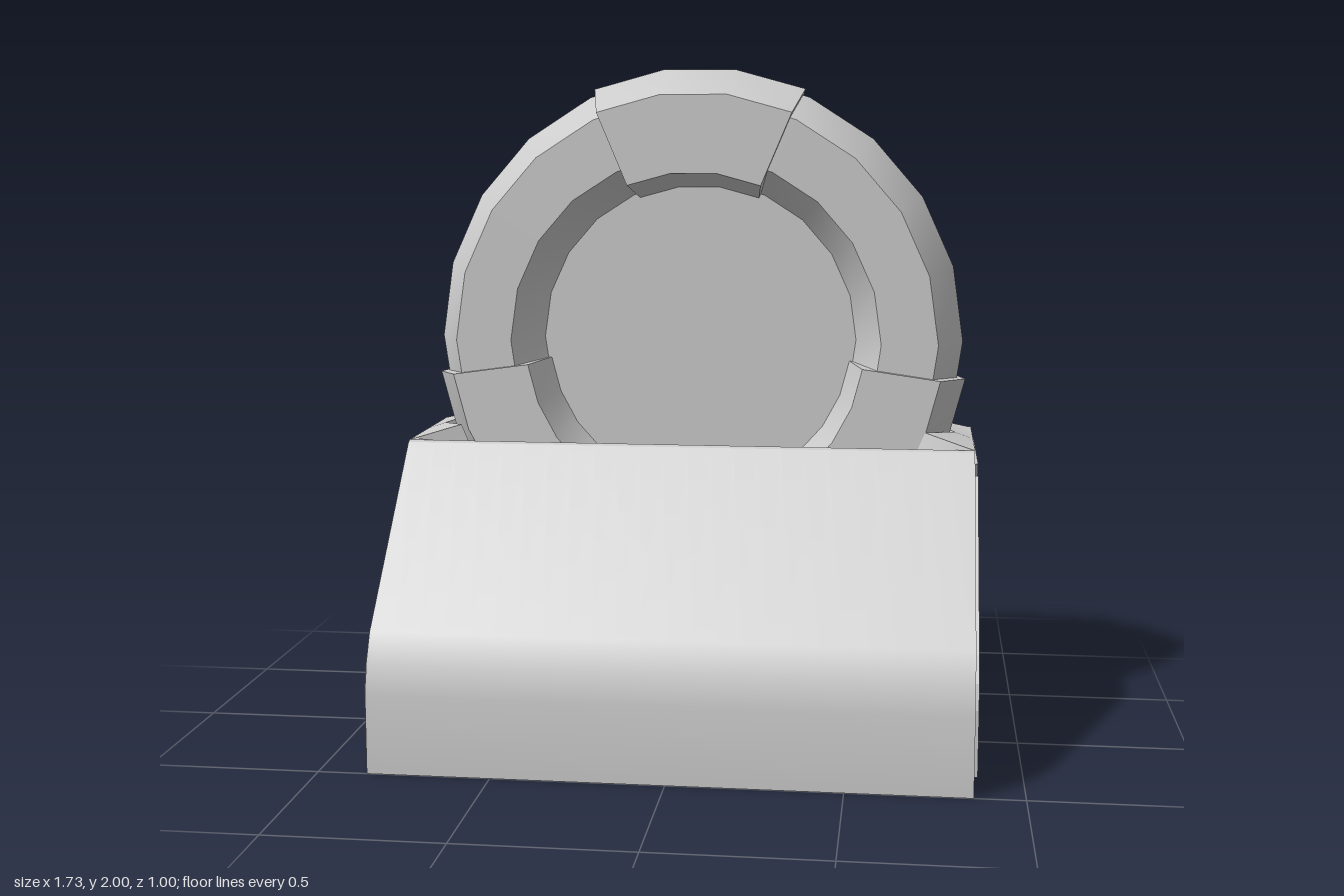
import * as THREE from 'three';
import { toCreasedNormals } from 'three/addons/utils/BufferGeometryUtils.js';

const CX = 0.01, CY = 1.18, CZ = -0.26; // centre of the ring
const HALF = 0.857;                     // half width of the base
const rad = THREE.MathUtils.degToRad;
const grey = (side = THREE.FrontSide) => new THREE.MeshStandardMaterial({ color: 0xcccccc, side });

function add(parent, name, geometry, side) {
  const mesh = new THREE.Mesh(geometry, grey(side));
  mesh.name = name;
  parent.add(mesh);
  return mesh;
}

// Closed six-sided section (radius, depth) with a ridge outside and inside
function section(inMid, inEdge, outEdge, outMid, h) {
  return [[outEdge, -h], [outMid, 0], [outEdge, h], [inEdge, h], [inMid, 0], [inEdge, -h], [outEdge, -h]]
    .map(([r, d]) => new THREE.Vector2(r, d));
}

// Sweep a section around the ring axis between two angles, in degrees
function sweep(points, from, to, segments) {
  const g = new THREE.LatheGeometry(points, segments, rad(from + 90), rad(to - from));
  g.rotateX(Math.PI / 2);
  return toCreasedNormals(g, 0.4);
}

// Base: each row is a line across the block, joined into a closed loop
function baseGeometry() {
  const flat = (z, y) => ({ z, y });
  const arc = (z, xe, ye) => ({ z, xe, ye });
  const rows = [
    flat(-0.5, 0), flat(0.5, 0), flat(0.5, 0.23), flat(0.48, 0.32), flat(0.44, 0.4), flat(-0.02, 0.875),
    flat(-0.035, 0.88), arc(-0.036, 0.84, 0.885), arc(-0.1, 0.71, 0.92), arc(-0.26, 0.8, 0.9),
    arc(-0.42, 0.71, 0.92), arc(-0.5, 0.85, 0.88),
  ];
  const N = 24, cols = N + 3, pos = [], idx = [];
  for (const row of rows) {
    for (let c = 0; c < cols; c++) {
      const t = THREE.MathUtils.clamp((c - 1) / N * 2 - 1, -1, 1);
      const edge = c === 0 || c === cols - 1;
      if (row.xe === undefined) {
        pos.push(edge ? t * HALF : t * HALF * 0.99, row.y, row.z);
      } else if (edge) {
        pos.push(t * HALF, 0.88, row.z);
      } else {
        const r = Math.hypot(row.xe, CY - row.ye);
        const a = t * Math.asin(row.xe / r);
        pos.push(r * Math.sin(a), CY - r * Math.cos(a), row.z);
      }
    }
  }
  for (let i = 0; i < rows.length; i++) {
    const j = (i + 1) % rows.length;
    for (let c = 0; c < cols - 1; c++) {
      const a = i * cols + c, b = a + 1, d = j * cols + c, e = d + 1;
      idx.push(a, b, d, b, e, d);
    }
  }
  // Flat sides
  const outline = rows.map((r) => new THREE.Vector2(r.z, r.y ?? 0.88));
  for (const [p, q, s] of THREE.ShapeUtils.triangulateShape(outline, [])) {
    const l = [p, q, s].map((k) => k * cols), m = l.map((k) => k + cols - 1);
    const area = (outline[q].x - outline[p].x) * (outline[s].y - outline[p].y)
      - (outline[q].y - outline[p].y) * (outline[s].x - outline[p].x);
    // counter-clockwise in (z, y) faces -x
    if (area > 0) idx.push(l[0], l[1], l[2], m[0], m[2], m[1]);
    else idx.push(l[0], l[2], l[1], m[0], m[1], m[2]);
  }
  const g = new THREE.BufferGeometry();
  g.setAttribute('position', new THREE.Float32BufferAttribute(pos, 3));
  g.setIndex(idx);
  return toCreasedNormals(g, 0.4);
}

export function createModel() {
  const model = new THREE.Group();
  model.name = 'ringOnStand';

  // Stand with a curved cradle
  add(model, 'base', baseGeometry());

  // Raised panels on both sides, split by a diagonal gap
  const panels = {
    frontPanel: [[0.47, 0.05], [0.47, 0.24], [0.45, 0.31], [0.41, 0.38], [0, 0.81], [-0.45, 0.05]],
    rearPanel: [[-0.03, 0.84], [-0.49, 0.84], [-0.49, 0.07]],
  };
  for (const [name, pts] of Object.entries(panels)) {
    const shape = new THREE.Shape(pts.map(([z, y]) => new THREE.Vector2(-z, y)));
    const g = new THREE.ExtrudeGeometry(shape, { depth: 0.02, bevelEnabled: false });
    g.rotateY(Math.PI / 2);
    for (const [label, x] of [['left', HALF - 0.01], ['right', -HALF - 0.01]]) {
      add(model, `${label} ${name}`, g).position.x = x;
    }
  }

  // Upright ring with its centre disc
  const ring = new THREE.Group();
  ring.name = 'ringAssembly';
  ring.position.set(CX, CY, CZ);
  model.add(ring);
  add(ring, 'ring', sweep(section(0.485, 0.565, 0.735, 0.81, 0.143), 0, 360, 22));
  add(ring, 'centreDisc', new THREE.CircleGeometry(0.49, 44), THREE.DoubleSide);

  // Clamps wrapped around the ring: one on top, two in the cradle
  const band = section(0.47, 0.515, 0.75, 0.828, 0.159);
  const clamps = [['topClamp', 67, 113, 3], ['rightClamp', 188, 242, 4], ['leftClamp', 298, 352, 4]];
  for (const [name, from, to, segments] of clamps) {
    const clamp = new THREE.Group();
    clamp.name = name;
    ring.add(clamp);
    add(clamp, 'clampBand', sweep(band, from, to, segments));
    for (const angle of [from, to]) {
      const end = new THREE.ShapeGeometry(new THREE.Shape(band.slice(0, -1)));
      end.rotateX(Math.PI / 2).rotateZ(rad(angle));
      add(clamp, 'clampEnd', end, THREE.DoubleSide);
    }
  }
  return model;
}
